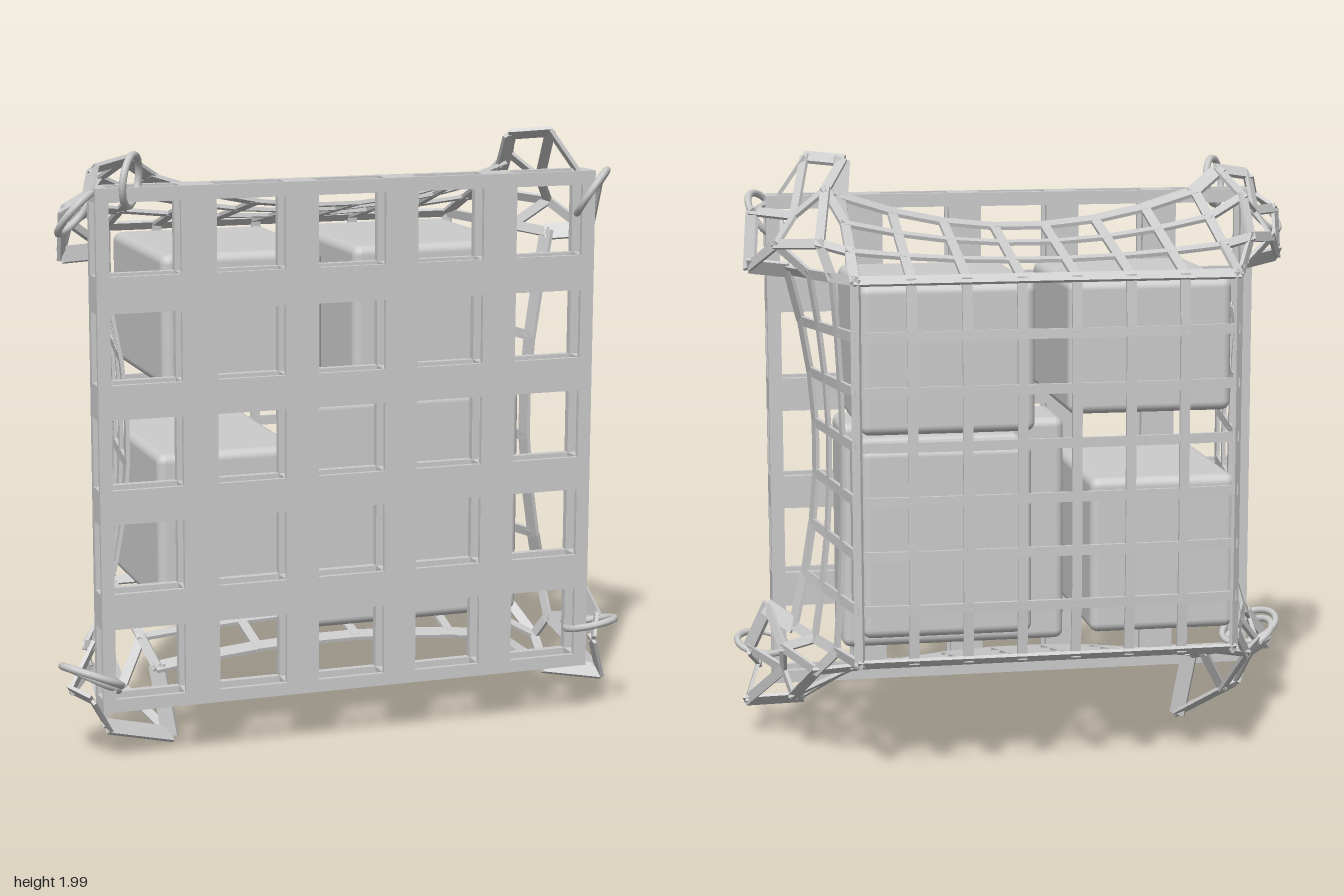
import * as THREE from 'three';
import { mergeGeometries } from 'three/addons/utils/BufferGeometryUtils.js';
import { RoundedBoxGeometry } from 'three/addons/geometries/RoundedBoxGeometry.js';

const V = (x, y, z) => new THREE.Vector3(x, y, z);
const CY = 1.02; // height of the load's centre
const PALLET_Y = 1.015;
const FRONT_Z = 0.355, BACK_Z = 0.25;

// Bars of the pallet grid: [start, end] on each axis, relative to its centre
const BARS = [[-0.837, -0.795], [-0.565, -0.45], [-0.225, -0.115], [0.11, 0.22], [0.445, 0.56], [0.79, 0.835]];
const LOW = BARS[0][0], HIGH = BARS[5][1];

function rectPath(T, x0, y0, x1, y1) {
  const p = new T();
  p.moveTo(x0, y0); p.lineTo(x1, y0); p.lineTo(x1, y1); p.lineTo(x0, y1); p.closePath();
  return p;
}

// One gridded deck with 5 x 5 square holes
function deck(z, depth) {
  const s = rectPath(THREE.Shape, LOW, LOW, HIGH, HIGH);
  for (let i = 0; i < 5; i++)
    for (let j = 0; j < 5; j++)
      s.holes.push(rectPath(THREE.Path, BARS[i][1], BARS[j][1], BARS[i + 1][0], BARS[j + 1][0]));
  const g = new THREE.ExtrudeGeometry(s, { depth, bevelEnabled: false });
  g.translate(0, PALLET_Y, z);
  return g;
}

// Spacer blocks where the bars cross
function spacers() {
  const list = [];
  for (const [x0, x1] of BARS)
    for (const [y0, y1] of BARS) {
      const g = new THREE.BoxGeometry(x1 - x0, y1 - y0, 0.07);
      g.translate((x0 + x1) / 2, (y0 + y1) / 2 + PALLET_Y, 0.307);
      list.push(g);
    }
  return mergeGeometries(list);
}

// Rim of the net around each corner: two slack points, the tie point, two slack points
const CORNERS = {
  '1,1': [V(0.9, 1.63, 0.14), V(0.88, 1.8, 0.25), V(0.79, 1.84, 0.32), V(0.7, 1.975, 0.29), V(0.58, 1.965, 0.24)],
  '-1,1': [V(-0.91, 1.63, 0.2), V(-0.92, 1.78, 0.27), V(-0.85, 1.83, 0.32), V(-0.82, 1.9, 0.26), V(-0.7, 1.92, 0.2)],
  '-1,-1': [V(-0.83, 0.36, 0.2), V(-0.92, 0.24, 0.27), V(-0.87, 0.22, 0.33), V(-0.8, 0.1, 0.25), V(-0.57, 0.025, 0.17)],
  '1,-1': [V(0.86, 0.47, 0.16), V(0.92, 0.31, 0.24), V(0.88, 0.25, 0.31), V(0.93, 0.12, 0.26), V(0.75, 0.14, 0.2)],
};

// Net rim along the left/right sides and along the top/bottom
const sideRim = (sx, v) => V(sx * (0.69 + 0.09 * v * v), CY + 0.6 * v, 0.135 - 0.045 * v ** 4);
const topRim = (sy, u) => V(0.6 * u, CY + sy * (0.725 + (sy > 0 ? 0.11 : 0.05) * u * u), 0.14 - 0.01 * u ** 4);

// Net knots: a 14 x 14 cloth, the middle 8 x 8 lie on the back, 3 rows hang over each edge
const N = 14;
function knot(i, j) {
  const ci = Math.min(10, Math.max(3, i)), cj = Math.min(10, Math.max(3, j));
  const u = (ci - 6.5) / 3.5, v = (cj - 6.5) / 3.5;
  const ex = Math.abs(i - ci), ey = Math.abs(j - cj);
  const bulge = 0.015 * (1 - u ** 6) * (1 - v ** 6);
  const base = V(0.615 * u, CY + 0.615 * v, -0.405 - bulge);
  if (!ex && !ey) return base;
  const sx = Math.sign(u), sy = Math.sign(v);
  if (!ey) return base.lerp(sideRim(sx, v), ex / 3);
  if (!ex) return base.lerp(topRim(sy, u), ey / 3);
  // corner: fan from the load's corner to the slack rim, billowing outwards
  const rim = [sideRim(sx, v), ...CORNERS[`${sx},${sy}`], topRim(sy, u)];
  const m = Math.max(ex, ey);
  const t = 3 * (ex >= ey ? ey / m : 2 - ex / m);
  const k = Math.min(5, Math.floor(t));
  const billow = 0.03 * Math.sin(Math.PI * m / 3);
  return base.lerp(rim[k].clone().lerp(rim[k + 1], t - k), m / 3).add(V(sx * billow, sy * billow, 0));
}

function netGeometries() {
  const P = [];
  for (let i = 0; i < N; i++) P.push(Array.from({ length: N }, (_, j) => knot(i, j)));
  const at = (i, j) => P[Math.min(N - 1, Math.max(0, i))][Math.min(N - 1, Math.max(0, j))];
  const normal = (i, j) => at(i + 1, j).clone().sub(at(i - 1, j))
    .cross(at(i, j + 1).clone().sub(at(i, j - 1))).normalize();
  const webbing = [], border = [];
  // flat strap between two neighbouring knots
  function strap(i, j, di, dj) {
    const a = at(i, j), b = at(i + di, j + dj);
    const dir = b.clone().sub(a), len = dir.length();
    dir.normalize();
    const n = normal(i, j).add(normal(i + di, j + dj));
    n.addScaledVector(dir, -n.dot(dir)).normalize();
    const isRim = di ? (j === 0 || j === N - 1) : (i === 0 || i === N - 1);
    const g = new THREE.BoxGeometry(isRim ? 0.055 : 0.032, 0.012, len + 0.012);
    const m = new THREE.Matrix4().makeBasis(n.clone().cross(dir), n, dir);
    m.setPosition(a.clone().add(b).multiplyScalar(0.5));
    g.applyMatrix4(m);
    (isRim ? border : webbing).push(g);
  }
  for (let i = 0; i < N; i++)
    for (let j = 0; j < N; j++) {
      if (i < N - 1) strap(i, j, 1, 0);
      if (j < N - 1) strap(i, j, 0, 1);
    }
  return [mergeGeometries(webbing), mergeGeometries(border)];
}

export function createModel() {
  const root = new THREE.Group();
  root.name = 'nettedPallet';
  const mat = new THREE.MeshStandardMaterial({ color: 0xcccccc });
  const add = (name, geo, parent) => {
    const mesh = new THREE.Mesh(geo, mat);
    mesh.name = name;
    parent.add(mesh);
    return mesh;
  };
  const group = (name) => {
    const g = new THREE.Group();
    g.name = name;
    root.add(g);
    return g;
  };

  // Pallet
  const pallet = group('pallet');
  add('bottomDeck', deck(FRONT_Z - 0.015, 0.015), pallet);
  add('topDeck', deck(BACK_Z, 0.025), pallet);
  add('spacerBlocks', spacers(), pallet);

  // Cargo boxes: x, y and z ranges
  const cargo = group('cargo');
  [
    ['upperRightBox', -0.6, -0.065, 1.19, 1.62, -0.39, 0.25],
    ['upperLeftBox', 0.04, 0.6, 1.14, 1.62, -0.39, 0.25],
    ['lowerFrontBox', -0.125, 0.625, 0.36, 1.12, -0.02, 0.25],
    ['lowerMiddleBox', 0.05, 0.6, 0.48, 1.1, -0.2, -0.04],
    ['lowerBackBox', 0.05, 0.6, 0.48, 1.1, -0.385, -0.215],
    ['lowerRightBox', -0.62, -0.14, 0.47, 0.98, -0.39, 0.25],
  ].forEach(([name, x0, x1, y0, y1, z0, z1]) => {
    add(name, new RoundedBoxGeometry(x1 - x0, y1 - y0, z1 - z0, 3, 0.03), cargo)
      .position.set((x0 + x1) / 2, (y0 + y1) / 2, (z0 + z1) / 2);
  });

  // Cargo net
  const [webbing, border] = netGeometries();
  const net = group('net');
  add('netWebbing', webbing, net);
  add('netBorder', border, net);

  // Tie rings at the pallet corners: position, radius, tilt
  const rings = group('tieRings');
  [
    [-0.72, 1.87, 0.34, 0.08, 0.2, 1.0, -0.3],
    [-0.88, 1.77, 0.29, 0.085, 1.0, 0.7, 0],
    [0.83, 1.78, 0.34, 0.085, 0.9, 0.8, 0],
    [-0.86, 0.29, 0.3, 0.1, 1.35, -0.4, 0],
    [-0.85, 0.27, 0.27, 0.09, 1.4, -0.5, 0],
    [0.87, 0.31, 0.31, 0.085, 1.35, 0.15, 0],
  ].forEach(([x, y, z, r, rx, ry, rz]) => {
    const ring = add('tieRing', new THREE.TorusGeometry(r, 0.012, 8, 28), rings);
    ring.position.set(x, y, z);
    ring.rotation.set(rx, ry, rz);
  });
  return root;
}
